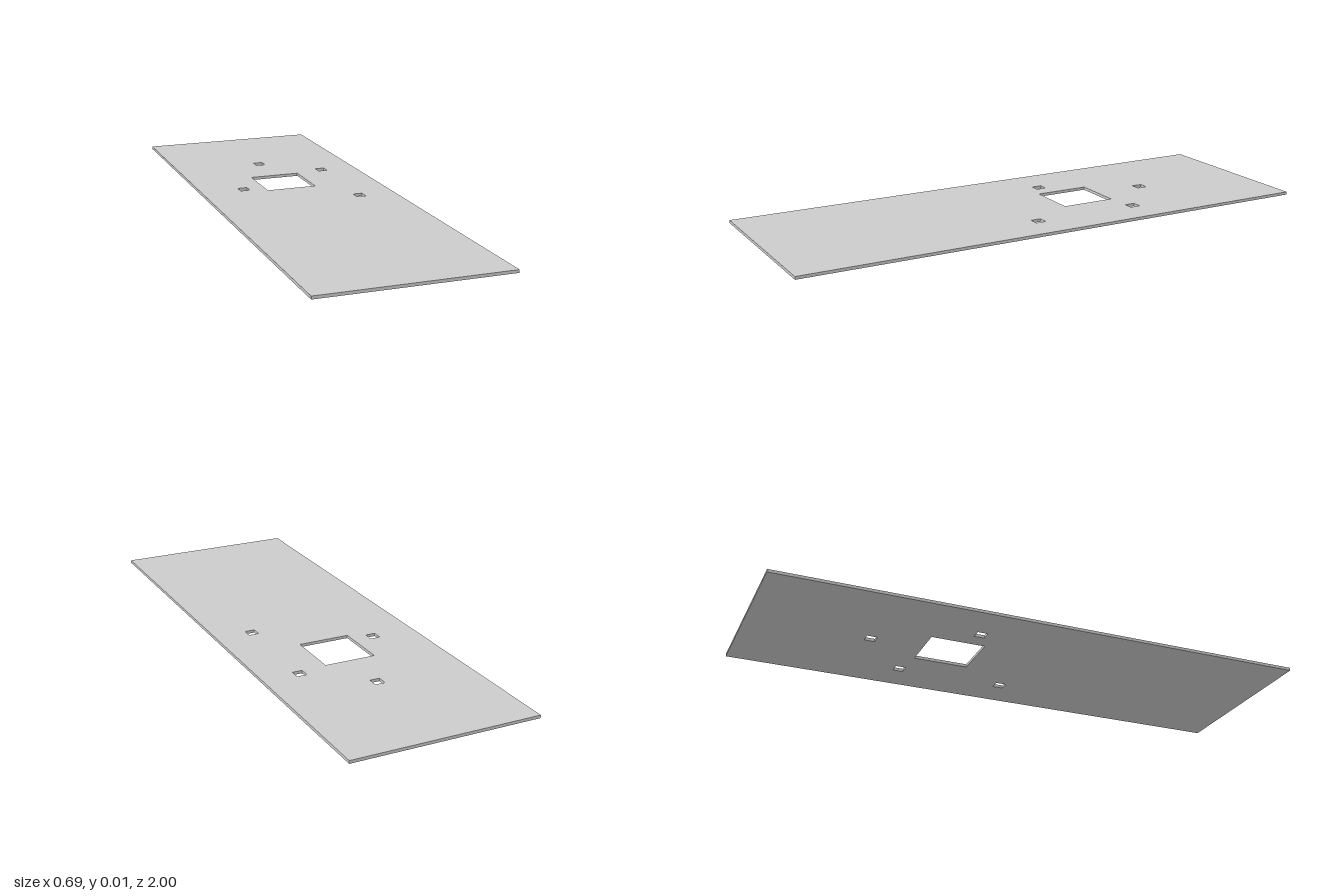
import * as THREE from 'three';

// Rectangular outline in plan; shape y is -z
function rect(PathType, cx, cz, w, d) {
  const x = w / 2, y = d / 2;
  return new PathType([[-x, -y], [x, -y], [x, y], [-x, y]]
    .map(([px, py]) => new THREE.Vector2(cx + px, -cz + py)));
}

export function createModel() {
  const group = new THREE.Group();
  group.name = 'mountingPlate';

  const outline = rect(THREE.Shape, 0, 0, 0.692, 2);

  // Large square opening
  outline.holes.push(rect(THREE.Path, -0.002, -0.248, 0.193, 0.205));

  // Small square slots around the opening
  for (const [x, z] of [[-0.002, -0.547], [0.206, -0.373], [-0.18, -0.192], [0.206, 0.034]]) {
    outline.holes.push(rect(THREE.Path, x, z, 0.037, 0.039));
  }

  // Thin flat plate, extruded upwards from the ground
  const geometry = new THREE.ExtrudeGeometry(outline, { depth: 0.011, bevelEnabled: false });
  geometry.rotateX(-Math.PI / 2);
  const plate = new THREE.Mesh(geometry, new THREE.MeshStandardMaterial({ color: 0xcccccc }));
  plate.name = 'plate';
  group.add(plate);

  return group;
}
